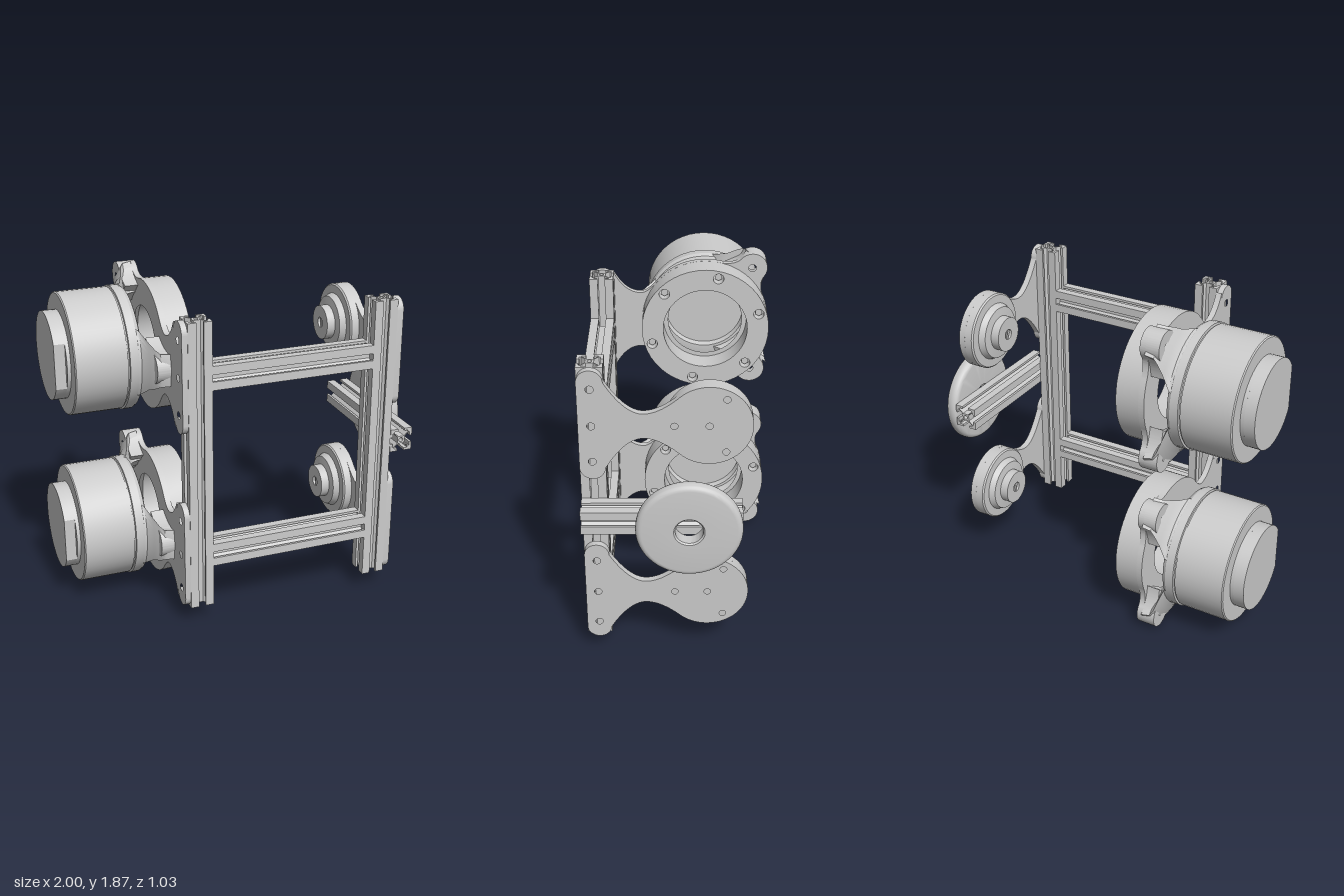
import * as THREE from 'three';
import { toCreasedNormals } from 'three/addons/utils/BufferGeometryUtils.js';

const material = new THREE.MeshStandardMaterial({ color: 0xcccccc });
const AXIS_Z = -0.145, UNITS = [0.412, 1.45], MID_Y = 0.931, BAR = 0.134, BAR_Z = 0.445;
const RING_R = 0.365, LOBE_R = 0.085, LOBE_DIST = 0.42, rad = THREE.MathUtils.degToRad;

function add(parent, name, geometry, x = 0, y = 0, z = 0) {
  const mesh = new THREE.Mesh(geometry, material);
  mesh.name = name;
  mesh.position.set(x, y, z);
  parent.add(mesh);
  return mesh;
}

// extrude a shape along z between two depths
function slab(shape, z0, z1) {
  const g = new THREE.ExtrudeGeometry(shape, { depth: z1 - z0, bevelEnabled: false, curveSegments: 24 });
  return toCreasedNormals(g.translate(0, 0, z0), 0.5);
}

// revolve [radius, z] points around z
function turned(points, sides = 48) {
  const g = new THREE.LatheGeometry(points.map(p => new THREE.Vector2(p[0], p[1])), sides);
  return toCreasedNormals(g.rotateX(Math.PI / 2), 0.5);
}

function hole(shape, x, y, r) {
  shape.holes.push(new THREE.Path().absarc(x, y, r, 0, Math.PI * 2, true));
}

const turn = (x, y, a) => [x * Math.cos(a) - y * Math.sin(a), x * Math.sin(a) + y * Math.cos(a)];

// slotted square bar section
function barShape() {
  const h = BAR / 2, side = [[h, -h], [h, -0.02], [0.053, -0.02], [0.053, -0.042], [0.045, -0.042], [0.022, -0.018]];
  const half = side.concat(side.slice(1).reverse().map(([x, y]) => [x, -y]));
  const pts = [];
  for (let i = 0; i < 4; i++) {
    for (const [x, y] of half) pts.push(new THREE.Vector2(...turn(x, y, i * Math.PI / 2)));
  }
  const s = new THREE.Shape(pts);
  hole(s, 0, 0, 0.012);
  return s;
}

function bar(parent, name, length, axis, x, y, z) {
  const g = slab(barShape(), -length / 2, length / 2);
  if (axis === 'x') g.rotateY(Math.PI / 2);
  if (axis === 'y') g.rotateX(Math.PI / 2);
  return add(parent, name, g, x, y, z);
}

// clockwise rounded ear around a disc at a given angle
function ear(s, angle) {
  const at = (x, y) => turn(x, y, angle);
  const root = at(RING_R * Math.cos(0.45), RING_R * Math.sin(0.45));
  s.lineTo(...root);
  s.quadraticCurveTo(...at(0.37, 0.09), ...at(LOBE_DIST, LOBE_R));
  s.absarc(...at(LOBE_DIST, 0), LOBE_R, angle + Math.PI / 2, angle - Math.PI / 2, true);
  s.quadraticCurveTo(...at(0.37, -0.09), ...at(RING_R * Math.cos(0.45), -RING_R * Math.sin(0.45)));
}

// mounting plate: strip with rounded ends, curved neck, round disc
function plateShape(R, startV, neckU, neckV, joinDeg, ears) {
  const a = rad(joinDeg), ju = R * Math.cos(a), jv = R * Math.sin(a);
  const cu = ju - (jv - neckV) * Math.tan(a - Math.PI / 2 + Math.PI / 2) * -1 * -1;
  const ctrl = Math.min(ju, ju - (jv - neckV) * Math.sin(a) / Math.abs(Math.cos(a)), cu);
  const L = -0.655, E = -0.523, c = (L + E) / 2, r = (E - L) / 2, end = 0.31 - r;
  const s = new THREE.Shape();
  s.moveTo(L, -end);
  s.lineTo(L, end);
  s.absarc(c, end, r, Math.PI, 0, true);
  s.lineTo(E, startV);
  s.quadraticCurveTo(neckU - 0.09, neckV, neckU, neckV);
  s.quadraticCurveTo(Math.max(ctrl, neckU + 0.01), neckV, ju, jv);
  if (ears) {
    const e = rad(50);
    s.absarc(0, 0, R, a, e + 0.45, true);
    ear(s, e);
    s.absarc(0, 0, R, e - 0.45, -e + 0.45, true);
    ear(s, -e);
    s.absarc(0, 0, R, -e - 0.45, -a, true);
  } else s.absarc(0, 0, R, a, -a, true);
  s.quadraticCurveTo(Math.max(ctrl, neckU + 0.01), -neckV, neckU, -neckV);
  s.quadraticCurveTo(neckU - 0.09, -neckV, E, -startV);
  s.lineTo(E, -end);
  s.absarc(c, -end, r, 0, -Math.PI, true);
  for (const v of [-0.207, 0, 0.207]) hole(s, c, v, 0.02);
  return s;
}

// flared leg lofted from arc-shaped sections [z, inner r, outer r, half angle]
function legGeometry() {
  const sections = [[-0.6, 0.24, 0.343, 0.62], [-0.56, 0.25, 0.347, 0.55], [-0.53, 0.265, 0.385, 0.36],
    [-0.51, 0.28, 0.44, 0.25], [-0.49, 0.29, 0.465, 0.2], [-0.44, 0.3, 0.475, 0.19]];
  const n = 8, ring = 2 * (n + 1), pos = [], index = [];
  for (const [z, ri, ro, A] of sections) {
    for (let k = 0; k < ring; k++) {
      const outer = k <= n, a = outer ? -A + 2 * A * k / n : A - 2 * A * (k - n - 1) / n;
      const r = outer ? ro : ri;
      pos.push(r * Math.cos(a), r * Math.sin(a), z);
    }
  }
  for (let i = 0; i < sections.length - 1; i++) {
    for (let k = 0; k < ring; k++) {
      const p = i * ring + k, q = i * ring + (k + 1) % ring;
      index.push(p, q, q + ring, p, q + ring, p + ring);
    }
  }
  const g = new THREE.BufferGeometry();
  g.setAttribute('position', new THREE.Float32BufferAttribute(pos, 3));
  g.setIndex(index);
  return toCreasedNormals(g, 0.7);
}

// drive unit: local z runs along the model's x
function driveUnit() {
  const g = new THREE.Group();
  g.name = 'driveUnit';
  add(g, 'motorBody', turned([[0, -0.92], [0.334, -0.92], [0.34, -0.914], [0.34, -0.632], [0.333, -0.63],
    [0.333, -0.624], [0.346, -0.622], [0.346, -0.575], [0.335, -0.555], [0.32, -0.548], [0.24, -0.548], [0.23, -0.58], [0, -0.58]]));
  // end cap with one flat side
  const flat = Math.acos(0.21 / 0.245), cap = new THREE.Shape();
  cap.absarc(0, 0, 0.245, Math.PI + flat, Math.PI * 3 - flat, false);
  cap.closePath();
  add(g, 'motorCap', slab(cap, -1, -0.94));
  add(g, 'motorCapFlange', turned([[0, -0.94], [0.245, -0.94], [0.245, -0.915]]));

  const foot = new THREE.Shape();
  foot.moveTo(0.3, 0.13);
  foot.quadraticCurveTo(0.36, 0.09, 0.42, LOBE_R);
  foot.absarc(LOBE_DIST, 0, LOBE_R, Math.PI / 2, -Math.PI / 2, true);
  foot.quadraticCurveTo(0.36, -0.09, 0.3, -0.13);
  hole(foot, LOBE_DIST, 0, 0.022);
  for (const deg of [50, -50, 180]) {
    const leg = add(g, 'motorLeg', legGeometry());
    const pad = add(g, 'motorFoot', slab(foot, -0.515, -0.44), ...turn(deg === 180 ? -0.025 : 0, 0, rad(deg)));
    leg.rotation.z = pad.rotation.z = rad(deg);
  }

  // plate and bolted ring
  const plate = plateShape(RING_R, 0.29, -0.37, 0.17, 140, true);
  hole(plate, 0, 0, 0.215);
  for (const s of [1, -1]) hole(plate, ...turn(LOBE_DIST, 0, s * rad(50)), 0.022);
  add(g, 'drivePlate', slab(plate, -0.44, -0.407));
  const ring = new THREE.Shape().absarc(0, 0, RING_R, 0, Math.PI * 2, false);
  hole(ring, 0, 0, 0.242);
  for (let i = 0; i < 6; i++) {
    const [x, y] = turn(0.32, 0, rad(17 + 60 * i));
    hole(ring, x, y, 0.03);
    add(g, 'ringNut', new THREE.CylinderGeometry(0.022, 0.022, 0.1, 6).rotateX(Math.PI / 2), x, y, -0.35);
  }
  add(g, 'bearingRing', slab(ring, -0.407, -0.275));
  return g;
}

// idler unit on the opposite post
function idlerUnit() {
  const g = new THREE.Group();
  g.name = 'idlerUnit';
  const plate = plateShape(0.22, 0.245, -0.33, 0.07, 132, false);
  for (const [x, y] of [[-0.175, 0], [0, 0], [0.085, 0.15], [0.085, -0.15]]) hole(plate, x, y, 0.018);
  add(g, 'idlerPlate', slab(plate, 0.785, 0.822));
  add(g, 'idlerHub', turned([[0, 0.655], [0.03, 0.655], [0.03, 0.64], [0.1, 0.64], [0.1, 0.69], [0.15, 0.695],
    [0.165, 0.73], [0.212, 0.732], [0.22, 0.74], [0.22, 0.785], [0, 0.785]]));
  add(g, 'hubKey', new THREE.BoxGeometry(0.012, 0.06, 0.012), 0, 0, 0.652);
  return g;
}

export function createModel() {
  const model = new THREE.Group();
  model.name = 'frameWithDrives';

  // frame bars
  for (const x of [-0.341, 0.718]) bar(model, 'post', 1.66, 'y', x, MID_Y, BAR_Z);
  for (const y of UNITS) bar(model, 'crossBar', 0.925, 'x', 0.1885, y, BAR_Z);
  bar(model, 'wheelArm', 0.832, 'z', 0.854, MID_Y, 0.096);

  for (const y of UNITS) {
    for (const unit of [driveUnit(), idlerUnit()]) {
      unit.rotation.y = Math.PI / 2;
      unit.position.set(0, y, AXIS_Z);
      model.add(unit);
    }
  }

  // wheel with rounded rim and centre hole
  const profile = [[0.072, 0.925]];
  for (const [z, a0] of [[0.955, -90], [0.97, 0]]) {
    for (let i = 0; i <= 5; i++) {
      const a = rad(a0 + i * 18);
      profile.push([0.245 + 0.03 * Math.cos(a), z + 0.03 * Math.sin(a)]);
    }
  }
  profile.push([0.08, 1], [0.072, 0.992], [0.072, 0.925]);
  const wheel = add(model, 'wheel', turned(profile, 64), 0, MID_Y, -0.045);
  wheel.rotation.y = Math.PI / 2;
  return model;
}
